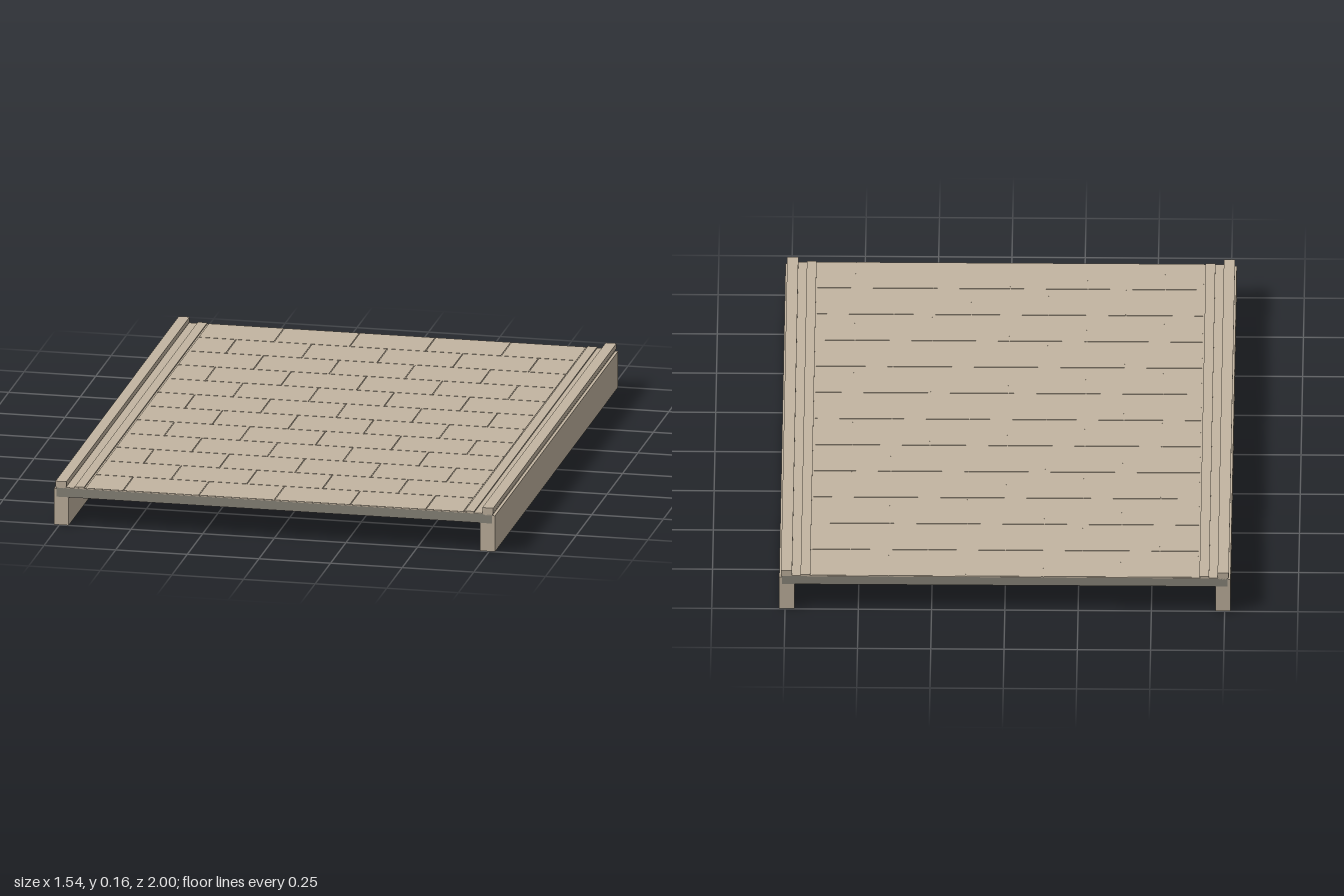
import * as THREE from 'three';

export function createModel() {
  const model = new THREE.Group();
  model.name = 'pavedBridgeDeck';

  const stone = new THREE.MeshStandardMaterial({ color: 0xc3b5a1 });
  stone.name = 'beige stone';
  const concrete = new THREE.MeshStandardMaterial({ color: 0x8c877c });
  concrete.name = 'grey concrete';

  // Box given by its limits on each axis
  function box(name, material, x0, x1, y0, y1, z0, z1, parent = model) {
    const mesh = new THREE.Mesh(new THREE.BoxGeometry(x1 - x0, y1 - y0, z1 - z0), material);
    mesh.name = name;
    mesh.position.set((x0 + x1) / 2, (y0 + y1) / 2, (z0 + z1) / 2);
    parent.add(mesh);
  }

  // Deck slab and the bed that carries the paving
  box('deckSlab', concrete, -0.76, 0.76, 0.1, 0.132, -1, 1);
  box('pavingBed', stone, -0.76, 0.76, 0.132, 0.1345, -1, 1);

  // Curb cross-section, slightly wider at the top
  const curbShape = new THREE.Shape([
    [-0.015, 0.128], [0.015, 0.128], [0.019, 0.138], [0.019, 0.155], [-0.019, 0.155], [-0.019, 0.138],
  ].map(([x, y]) => new THREE.Vector2(x, y)));
  const curbGeometry = new THREE.ExtrudeGeometry(curbShape, { depth: 2, bevelEnabled: false });
  curbGeometry.translate(0, 0, -1);

  // Side beams, curbs and edging strips
  for (const [side, s] of [['left', 1], ['right', -1]]) {
    const span = (a, b) => (s > 0 ? [a, b] : [-b, -a]);
    box(side + 'Beam', stone, ...span(0.718, 0.77), 0, 0.128, -0.999, 0.999);
    box(side + 'EdgingStrip', stone, ...span(0.664, 0.697), 0.132, 0.139, -0.999, 0.999);
    const curb = new THREE.Mesh(curbGeometry, stone);
    curb.name = side + 'Curb';
    curb.position.x = s * 0.745;
    model.add(curb);
  }

  // Paving stones in running bond, cut at the edging strips
  const paving = new THREE.Group();
  paving.name = 'pavingStones';
  model.add(paving);
  const rows = 12, columns = 5, half = 0.66, joint = 0.0015;
  const depth = 2 / rows, width = (2 * half) / columns;
  for (let r = 0; r < rows; r++) {
    const shift = (r % 2) * width / 2;
    for (let c = 0; c < columns + (r % 2); c++) {
      const x0 = Math.max(-half, -half - shift + c * width);
      const x1 = Math.min(half, -half - shift + (c + 1) * width);
      const z0 = -1 + r * depth;
      box('pavingStone', stone, x0 + joint, x1 - joint, 0.133, 0.136,
        z0 + joint, z0 + depth - joint, paving);
    }
  }
  return model;
}
